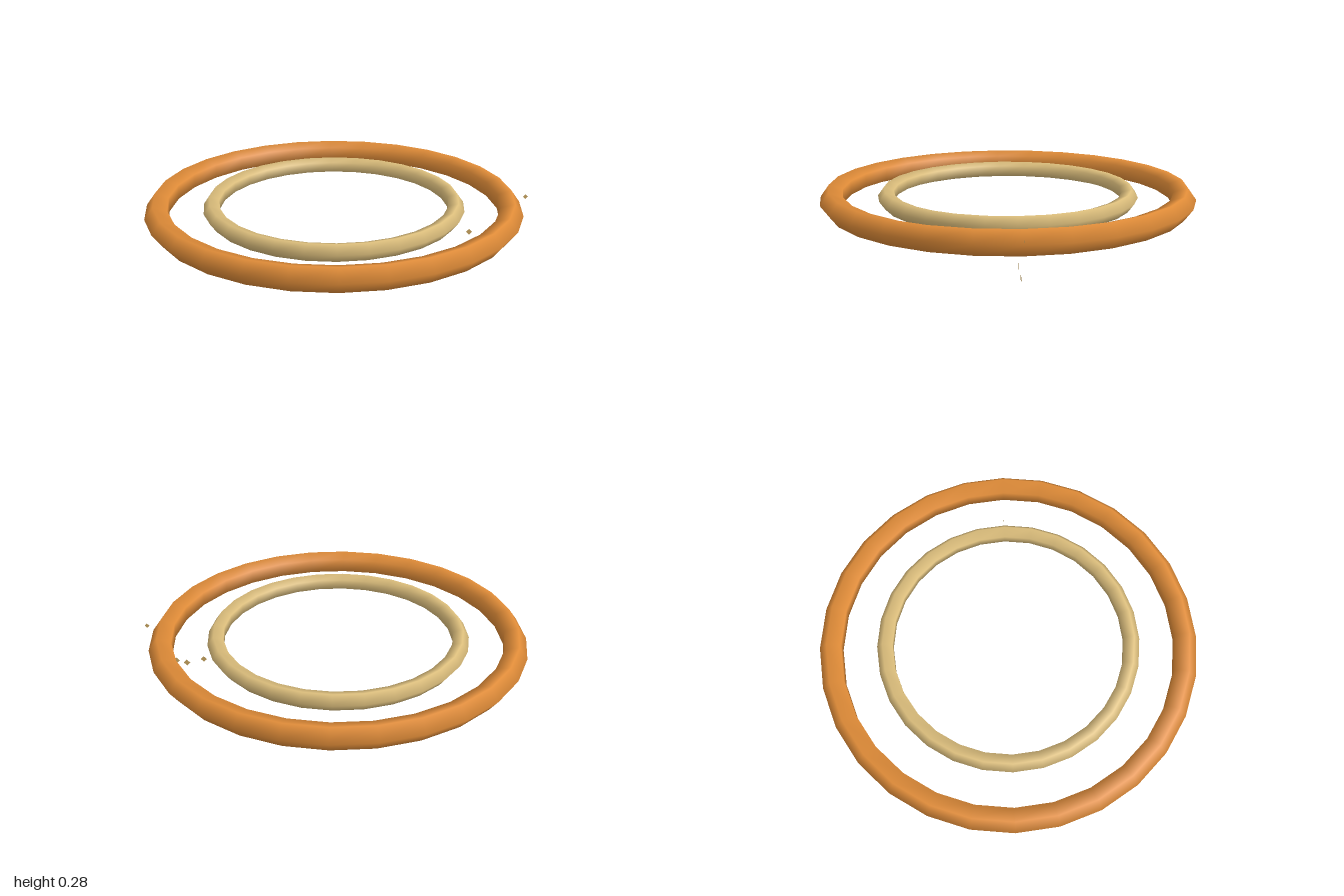
import * as THREE from 'three';

export function createModel() {
  const model = new THREE.Group();
  model.name = 'glowingRings';

  const material = (name, color, side = THREE.FrontSide) => {
    const m = new THREE.MeshStandardMaterial({ color, side });
    m.name = name;
    return m;
  };
  const orange = material('orange', 0xe08c38);
  const paleGold = material('paleGold', 0xdcbe7c);
  const sparkGold = material('sparkGold', 0xd6b068, THREE.DoubleSide);

  // Two flat-lying concentric rings with a five-sided section
  const addRing = (name, radius, tube, mat) => {
    const geometry = new THREE.TorusGeometry(radius, tube, 5, 28);
    geometry.rotateX(-Math.PI / 2);
    const ring = new THREE.Mesh(geometry, mat);
    ring.name = name;
    ring.position.set(-0.022, 0.215, 0);
    model.add(ring);
  };
  addRing('outerRing', 0.913, 0.064, orange);
  addRing('innerRing', 0.635, 0.046, paleGold);

  // Small flat diamond sparks beside the rings: x, y, half diagonal
  const sparks = [
    [0.7, 0.043, 0.017],
    [0.793, 0.018, 0.018],
    [0.849, 0.03, 0.019],
    [0.987, 0.24, 0.013],
  ];
  sparks.forEach(([x, y, r], i) => {
    const spark = new THREE.Mesh(new THREE.CircleGeometry(r, 4), sparkGold);
    spark.name = `spark${i + 1}`;
    spark.position.set(x, y, 0);
    model.add(spark);
  });

  return model;
}
